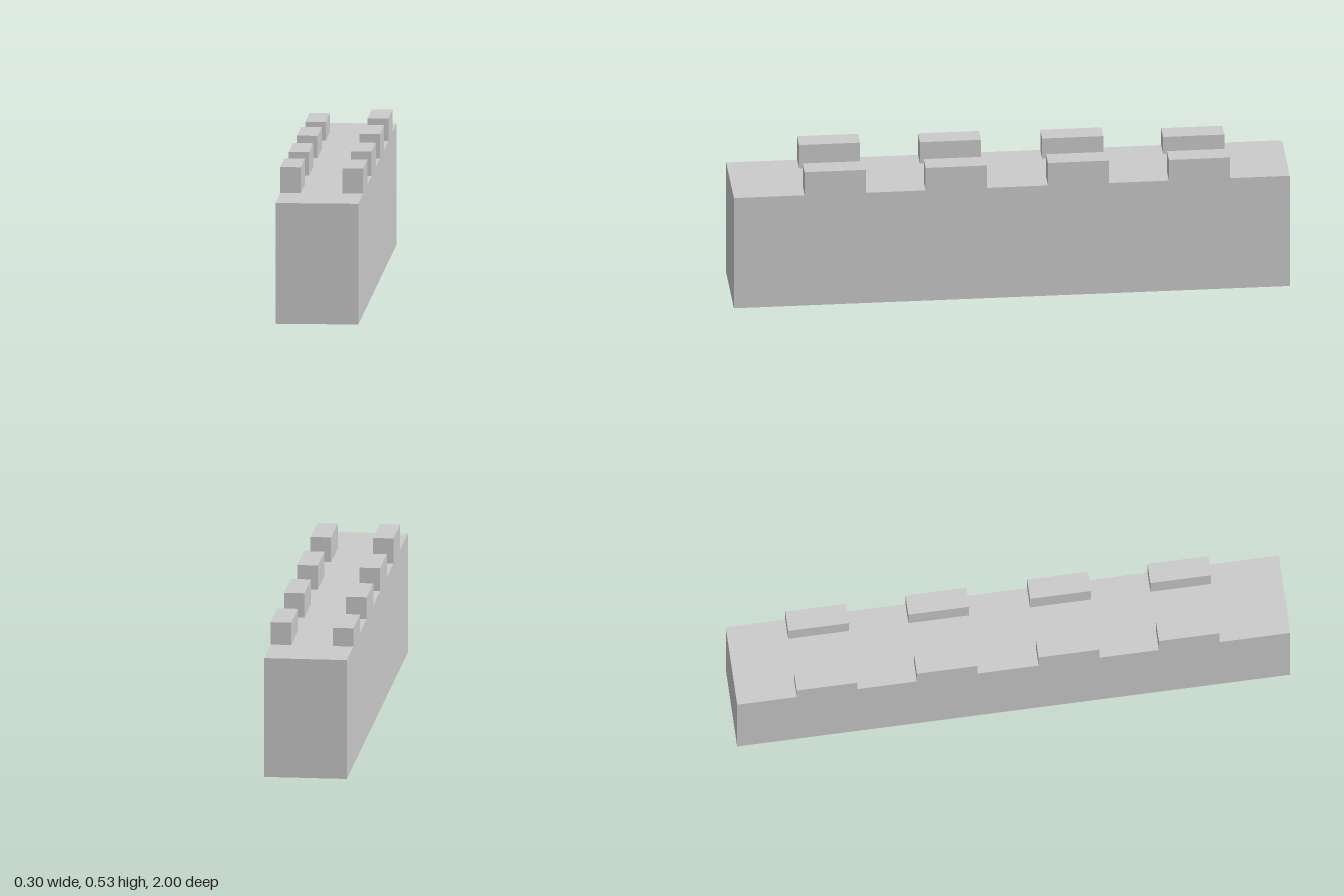
import * as THREE from 'three';

export function createModel() {
  const group = new THREE.Group();
  const material = new THREE.MeshStandardMaterial({ color: 0xcccccc, flatShading: true });
  const wallHeight = 0.437;

  function addBox(name, w, d, bottom, top, x, z) {
    const mesh = new THREE.Mesh(new THREE.BoxGeometry(w, top - bottom, d), material);
    mesh.position.set(x, (bottom + top) / 2, z);
    mesh.name = name;
    group.add(mesh);
  }

  // Solid wall
  addBox('wall', 0.298, 2, 0, wallHeight, 0, 0);

  // Two rows of merlons, front to back, with slightly uneven tops
  const positions = [0.635, 0.2, -0.24, -0.675];
  const rows = [
    { name: 'leftMerlon', x: 0.112, tops: [0.528, 0.526, 0.526, 0.519] },
    { name: 'rightMerlon', x: -0.112, tops: [0.53, 0.522, 0.517, 0.504] },
  ];
  for (const row of rows) {
    positions.forEach((z, i) => {
      addBox(`${row.name}${i + 1}`, 0.074, 0.22, wallHeight, row.tops[i], row.x, z);
    });
  }

  return group;
}
